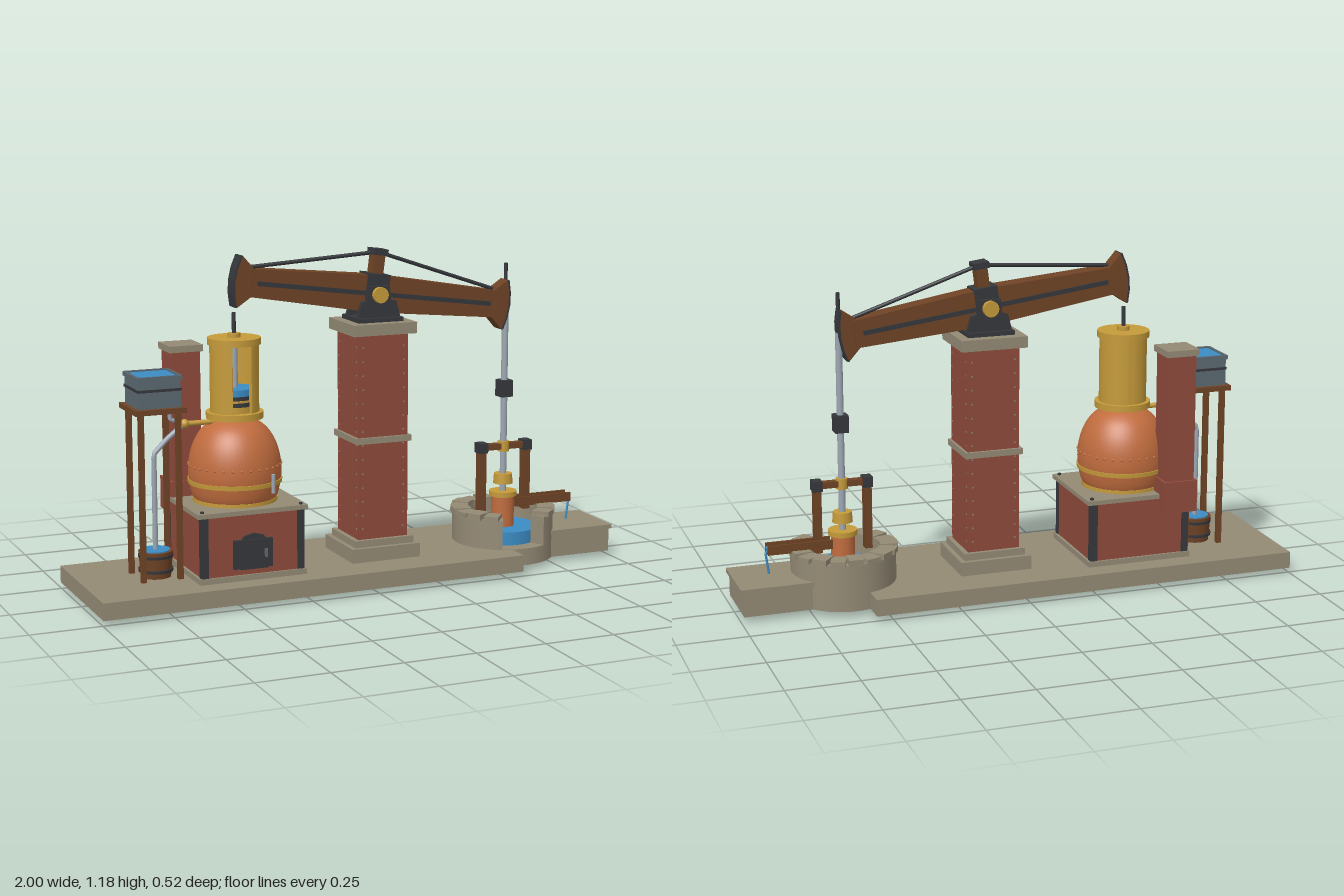
import * as THREE from 'three';
import { toCreasedNormals } from 'three/addons/utils/BufferGeometryUtils.js';

const mat = (name, color, side = THREE.FrontSide) => {
  const m = new THREE.MeshStandardMaterial({ color, side });
  m.name = name;
  return m;
};

export function createModel() {
  const stone = mat('stone', 0x948a75), brick = mat('brick', 0x8f4a3b), copper = mat('copper', 0xc06c3e, THREE.DoubleSide);
  const brass = mat('brass', 0xc49a3a), wood = mat('wood', 0x6e4325), iron = mat('iron', 0x35373b);
  const steel = mat('steel', 0x9ca6b2), water = mat('water', 0x3b8cc4), slate = mat('slate', 0x5c6871);
  const model = new THREE.Group();
  model.name = 'beamEngine';

  const group = (name, x = 0, y = 0, z = 0, parent = model) => {
    const g = new THREE.Group();
    g.name = name;
    g.position.set(x, y, z);
    parent.add(g);
    return g;
  };
  const add = (p, name, geo, m, x = 0, y = 0, z = 0) => {
    const mesh = new THREE.Mesh(geo, m);
    mesh.name = name;
    mesh.position.set(x, y, z);
    p.add(mesh);
    return mesh;
  };
  // Box resting on y0 and reaching y1
  const box = (p, name, m, x, y0, y1, z, w, d) =>
    add(p, name, new THREE.BoxGeometry(w, y1 - y0, d), m, x, (y0 + y1) / 2, z);
  const cyl = (p, name, m, x, y0, y1, z, r, rTop = r, n = 32) =>
    add(p, name, new THREE.CylinderGeometry(rTop, r, y1 - y0, n), m, x, (y0 + y1) / 2, z);
  const tube = (p, name, m, pts, r) => {
    const path = new THREE.CurvePath();
    const v = pts.map(a => new THREE.Vector3(...a));
    for (let i = 1; i < v.length; i++) path.add(new THREE.LineCurve3(v[i - 1], v[i]));
    return add(p, name, new THREE.TubeGeometry(path, 8 * (pts.length - 1), r, 10), m);
  };
  // Ring wall with an opening of half angle a towards the front
  const ringWall = (p, name, m, ri, ro, y0, y1, a) => {
    const s = new THREE.Shape(), b = -Math.PI / 2 + a, e = Math.PI * 1.5 - a;
    s.absarc(0, 0, ro, b, e, false);
    s.absarc(0, 0, ri, e, b, true);
    const g = new THREE.ExtrudeGeometry(s, { depth: y1 - y0, bevelEnabled: false, curveSegments: 48 });
    g.rotateX(-Math.PI / 2);
    return add(p, name, toCreasedNormals(g, 0.5), m, 0, y0, 0);
  };
  // Flat outline in x and y, centred on z
  const plate = (p, name, m, pts, depth, z = 0) => {
    const s = new THREE.Shape(pts.map(a => new THREE.Vector2(...a)));
    const g = new THREE.ExtrudeGeometry(s, { depth, bevelEnabled: false });
    return add(p, name, g, m, 0, 0, z - depth / 2);
  };

  // Ground slabs
  box(model, 'baseSlab', stone, -0.22, 0.02, 0.08, 0, 1.56, 0.52);
  box(model, 'outletSlab', stone, 0.865, 0.02, 0.105, 0, 0.25, 0.24);
  box(model, 'outletSlabCap', stone, 0.872, 0.105, 0.12, 0, 0.256, 0.25);

  // Brick pillar with stone courses and rows of studs
  const pillar = group('pillar', 0.083);
  box(pillar, 'pillarPlinth', stone, 0, 0.08, 0.13, 0, 0.26, 0.25);
  box(pillar, 'pillarStep', stone, 0, 0.13, 0.155, 0, 0.225, 0.215);
  box(pillar, 'pillarShaft', brick, 0, 0.155, 0.885, 0, 0.19, 0.185);
  box(pillar, 'pillarBand', stone, 0, 0.5, 0.522, 0, 0.21, 0.205);
  box(pillar, 'pillarCap', stone, 0, 0.885, 0.925, 0, 0.24, 0.227);
  for (let y = 0.19; y < 0.87; y += 0.05) for (const s of [-1, 1]) {
    box(pillar, 'stud', stone, s * 0.078, y, y + 0.005, 0, 0.005, 0.188);
    box(pillar, 'stud', stone, 0, y, y + 0.005, s * 0.078, 0.193, 0.005);
  }

  // Bearing pedestals and pivot
  const bearing = group('bearing', 0.083);
  box(bearing, 'bearingPlate', iron, 0, 0.925, 0.94, 0, 0.17, 0.15);
  for (const s of [-1, 1])
    plate(bearing, 'pedestal', iron, [[-0.08, 0.94], [0.08, 0.94], [0.066, 0.995], [0.045, 1.0],
      [0.04, 1.05], [-0.04, 1.05], [-0.045, 1.0], [-0.066, 0.995]], 0.02, s * 0.048);
  cyl(bearing, 'pivot', brass, 0, -0.075, 0.075, 0, 0.028).rotation.x = Math.PI / 2;
  bearing.children[bearing.children.length - 1].position.set(0, 1.02, 0);

  // Rocking beam with arch heads, king post and tie rods
  const beam = group('beam', 0.083, 1.02, 0);
  beam.rotation.z = -0.132;
  plate(beam, 'beamTimber', wood, [[-0.48, -0.048], [0, -0.066], [0.48, -0.048], [0.48, 0.048], [0, 0.066], [-0.48, 0.048]], 0.068);
  box(beam, 'beamStrap', iron, 0, -0.008, 0.008, 0, 0.9, 0.078);
  box(beam, 'beamSaddle', iron, 0, -0.068, 0.07, 0, 0.085, 0.08);
  box(beam, 'kingPost', wood, 0, 0.07, 0.14, 0, 0.042, 0.045);
  box(beam, 'kingPostCap', iron, 0, 0.135, 0.157, 0, 0.055, 0.06);
  for (const s of [-1, 1]) {
    const head = [[0.455, -0.04], [0.512, -0.09], [0.524, -0.045], [0.528, 0], [0.524, 0.045], [0.512, 0.09], [0.455, 0.04]];
    const rim = [[0.512, -0.09], [0.524, -0.045], [0.528, 0], [0.524, 0.045], [0.512, 0.09],
      [0.518, 0.09], [0.53, 0.045], [0.534, 0], [0.53, -0.045], [0.518, -0.09]];
    plate(beam, 'archHead', wood, head.map(([x, y]) => [s * x, y]), 0.056);
    plate(beam, 'archHeadRim', iron, rim.map(([x, y]) => [s * x, y]), 0.06);
    tube(beam, 'tieRod', iron, [[0, 0.145, 0], [s * 0.47, 0.052, 0]], 0.007);
  }

  // Furnace with iron corners and an arched door
  const furnace = group('furnace', -0.44);
  box(furnace, 'furnacePlinth', stone, 0, 0.08, 0.1, 0, 0.39, 0.365);
  box(furnace, 'furnaceBrick', brick, 0, 0.1, 0.31, 0, 0.37, 0.35);
  box(furnace, 'furnaceTop', stone, 0, 0.31, 0.326, 0, 0.4, 0.365);
  for (const sx of [-1, 1]) for (const sz of [-1, 1]) {
    box(furnace, 'cornerIron', iron, sx * 0.175, 0.1, 0.31, sz * 0.166, 0.026, 0.024);
    cyl(furnace, 'topBolt', iron, sx * 0.18, 0.326, 0.332, sz * 0.165, 0.007, 0.007, 8);
  }
  const arch = (w, y0, y1, h) => [[-w, y0], [w, y0], [w, y1], [w * 0.7, y1 + h * 0.7], [0, y1 + h], [-w * 0.7, y1 + h * 0.7], [-w, y1]];
  plate(furnace, 'doorFrame', iron, arch(0.05, 0.12, 0.215, 0.03), 0.012, 0.181);
  box(furnace, 'fireDoor', iron, -0.005, 0.125, 0.225, 0.186, 0.14, 0.014);
  box(furnace, 'doorHandle', slate, 0.04, 0.16, 0.19, 0.194, 0.01, 0.006);

  // Copper boiler with bands and rivets
  const boiler = group('boiler', -0.44);
  const dome = [[0.135, 0.32], [0.15, 0.35], [0.16, 0.4], [0.162, 0.44], [0.157, 0.485], [0.143, 0.53], [0.118, 0.572], [0.085, 0.6], [0.05, 0.615], [0, 0.62]];
  add(boiler, 'boilerDome', new THREE.LatheGeometry(new THREE.SplineCurve(dome.map(a => new THREE.Vector2(...a))).getPoints(30), 48), copper);
  cyl(boiler, 'boilerBand', brass, 0, 0.39, 0.405, 0, 0.164, 0.165, 48);
  cyl(boiler, 'boilerFoot', brass, 0, 0.326, 0.338, 0, 0.148, 0.148, 48);
  const rivet = new THREE.SphereGeometry(0.005, 6, 4);
  for (let i = 0; i < 32; i++) {
    const a = i / 32 * Math.PI * 2;
    add(boiler, 'rivet', rivet, copper, 0.161 * Math.sin(a), 0.455, 0.161 * Math.cos(a));
  }
  cyl(boiler, 'gaugeGlass', steel, 0.085, 0.37, 0.435, 0.15, 0.007, 0.007, 12);

  // Steam cylinder, open at the front to show the piston
  const steam = group('steamCylinder', -0.438);
  cyl(steam, 'cylinderFlange', brass, 0, 0.615, 0.638, 0, 0.1);
  ringWall(steam, 'cylinderWall', brass, 0.072, 0.085, 0.638, 0.872, 0.42);
  cyl(steam, 'cylinderLid', brass, 0, 0.872, 0.895, 0, 0.093);
  cyl(steam, 'cylinderGland', brass, 0, 0.895, 0.91, 0, 0.022);
  cyl(steam, 'pistonBase', brass, 0, 0.638, 0.66, 0, 0.071);
  cyl(steam, 'piston', iron, 0, 0.66, 0.697, 0, 0.07);
  cyl(steam, 'pistonRing', brass, 0, 0.675, 0.683, 0, 0.0715);
  cyl(steam, 'pistonWater', water, 0, 0.697, 0.72, 0, 0.07);
  cyl(steam, 'pistonRod', steel, 0, 0.72, 0.872, 0, 0.012);
  cyl(steam, 'pistonRodTop', iron, 0, 0.9, 0.98, 0, 0.007);

  // Chimney
  const chimney = group('chimney', -0.575, 0, -0.165);
  box(chimney, 'chimneyBase', brick, 0, 0.265, 0.38, 0, 0.125, 0.125);
  box(chimney, 'chimneyShaft', brick, 0, 0.38, 0.835, 0, 0.105, 0.105);
  box(chimney, 'chimneyCap', stone, 0, 0.835, 0.858, 0, 0.123, 0.123);

  // Water tank on a timber stand, with barrel and pipes
  const tank = group('tankStand', -0.733);
  for (const sx of [-1, 1]) for (const sz of [-1, 1])
    box(tank, 'standLeg', wood, sx * 0.066, 0.08, 0.665, sz * 0.068, 0.018, 0.018);
  box(tank, 'standTop', wood, 0, 0.662, 0.68, 0, 0.182, 0.185);
  box(tank, 'tankBody', slate, 0, 0.68, 0.782, 0, 0.15, 0.15);
  box(tank, 'tankBand', iron, 0, 0.737, 0.746, 0, 0.156, 0.156);
  box(tank, 'tankWater', water, 0, 0.782, 0.785, 0, 0.142, 0.142);
  for (const s of [-1, 1]) {
    box(tank, 'tankRim', slate, s * 0.075, 0.775, 0.79, 0, 0.01, 0.16);
    box(tank, 'tankRim', slate, 0, 0.775, 0.79, s * 0.075, 0.16, 0.01);
  }
  cyl(tank, 'barrel', wood, 0, 0.08, 0.172, 0, 0.052, 0.06);
  cyl(tank, 'barrelWater', water, 0, 0.172, 0.176, 0, 0.05);
  for (const y of [0.1, 0.15]) cyl(tank, 'barrelHoop', iron, 0, y, y + 0.01, 0, 0.06, 0.061);
  tube(tank, 'drainPipe', steel, [[0, 0.17, 0], [0, 0.51, 0], [0.05, 0.56, 0], [0.11, 0.605, 0]], 0.009);
  tube(tank, 'feedPipe', steel, [[0.055, 0.67, 0], [0.06, 0.625, 0], [0.11, 0.605, 0]], 0.007);
  tube(tank, 'brassPipe', brass, [[0.1, 0.606, 0], [0.23, 0.606, 0]], 0.009);
  add(tank, 'valve', new THREE.SphereGeometry(0.016, 16, 10), brass, 0.112, 0.606, 0);

  // Well with a gap in the front wall and coping stones
  const well = group('well', 0.608);
  ringWall(well, 'wellFoot', stone, 0.126, 0.185, 0.02, 0.082, 0);
  ringWall(well, 'wellWall', stone, 0.126, 0.185, 0.08, 0.187, 0.47);
  cyl(well, 'wellWater', water, 0, 0.03, 0.13, 0, 0.127, 0.127, 48);
  cyl(well, 'suctionPipe', iron, 0, 0, 0.05, 0, 0.027);
  for (let i = 2; i <= 16; i++) {
    const a = i / 18 * Math.PI * 2;
    const s = box(well, 'copingStone', stone, 0.159 * Math.sin(a), 0.184, i % 2 ? 0.206 : 0.202, 0.159 * Math.cos(a), 0.052, 0.064);
    s.rotation.y = a;
  }

  // Pump barrel, guide frame and rod
  const pump = group('pump', 0.608);
  cyl(pump, 'pumpBarrel', copper, 0, 0.12, 0.245, 0, 0.042);
  cyl(pump, 'barrelRim', brass, 0, 0.242, 0.26, 0, 0.051);
  cyl(pump, 'pumpCollar', brass, 0, 0.288, 0.325, 0, 0.036, 0.033);
  for (const s of [-1, 1]) {
    box(pump, 'guidePost', wood, s * 0.09, 0.185, 0.415, 0, 0.026, 0.034);
    box(pump, 'postCap', iron, s * 0.09, 0.408, 0.445, 0, 0.034, 0.044);
  }
  box(pump, 'crossBar', wood, 0, 0.416, 0.438, 0, 0.16, 0.028);
  cyl(pump, 'crossBarBush', brass, 0, 0.408, 0.446, 0, 0.021);
  cyl(pump, 'pumpRod', steel, 0, 0.24, 0.96, 0, 0.012);
  box(pump, 'rodCoupling', iron, 0, 0.612, 0.673, 0, 0.048, 0.048);
  cyl(pump, 'rodTop', iron, 0, 0.95, 1.1, 0, 0.007);

  // Outlet trough and its stream
  box(pump, 'troughFloor', wood, 0.157, 0.198, 0.208, 0, 0.23, 0.044);
  for (const s of [-1, 1]) box(pump, 'troughSide', wood, 0.157, 0.2, 0.232, s * 0.021, 0.23, 0.007);
  box(pump, 'troughWater', water, 0.19, 0.208, 0.22, 0, 0.165, 0.036);
  tube(pump, 'stream', water, [[0.265, 0.215, 0], [0.276, 0.2, 0], [0.266, 0.125, 0]], 0.004);
  return model;
}
